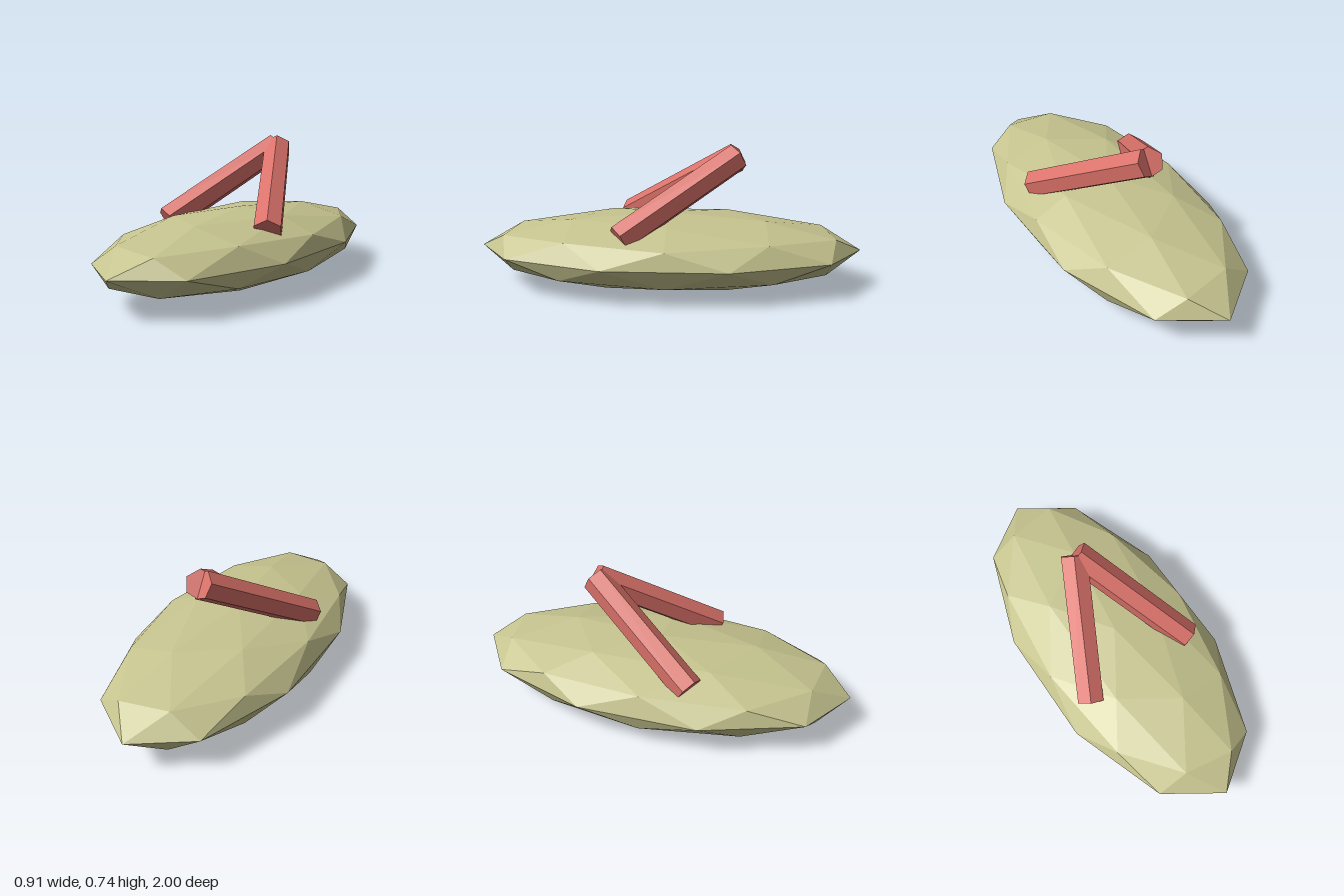
import * as THREE from 'three';

const soleMaterial = new THREE.MeshStandardMaterial({ color: 0xc6c48f, flatShading: true });
soleMaterial.name = 'khaki';
const strapMaterial = new THREE.MeshStandardMaterial({ color: 0xd87068, flatShading: true });
strapMaterial.name = 'coral red';

// Faceted ellipsoid sole, turned so a corner points straight up
function createSole() {
  const geometry = new THREE.IcosahedronGeometry(1, 1);
  geometry.rotateZ(-Math.atan(2 / (1 + Math.sqrt(5))));
  geometry.scale(0.48, 0.1925, 1);
  geometry.translate(0, 0.1925, 0);
  geometry.computeVertexNormals();
  const sole = new THREE.Mesh(geometry, soleMaterial);
  sole.name = 'sole';
  return sole;
}

// Six-sided bar from the sole's edge up to the shared peak, one ridge on top
function createStrap(side, name) {
  const foot = new THREE.Vector3(0.309 * side, 0.312, 0.229);
  const peak = new THREE.Vector3(0.004 * side, 0.675, -0.348);
  const along = peak.clone().sub(foot);
  const geometry = new THREE.CylinderGeometry(0.075, 0.075, along.length(), 6);
  along.normalize();
  const across = new THREE.Vector3(0, 1, 0).cross(along).normalize();
  const ridge = across.clone().cross(along);
  geometry.applyMatrix4(new THREE.Matrix4().makeBasis(across, along, ridge));
  const strap = new THREE.Mesh(geometry, strapMaterial);
  strap.position.copy(foot).add(peak).multiplyScalar(0.5);
  strap.name = name;
  return strap;
}

export function createModel() {
  const model = new THREE.Group();
  model.name = 'sandal';
  model.add(createSole(), createStrap(1, 'leftStrap'), createStrap(-1, 'rightStrap'));
  return model;
}
